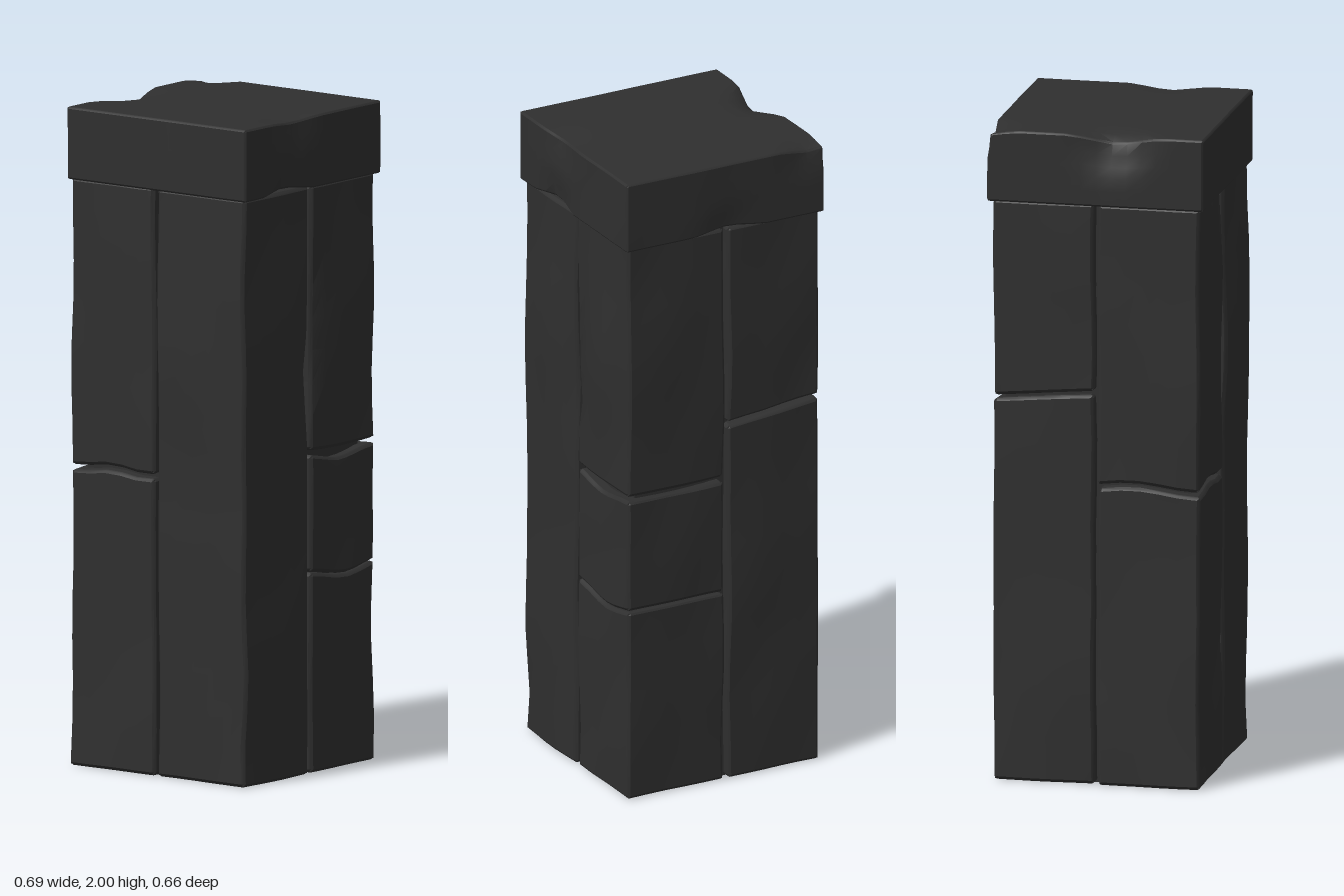
import * as THREE from 'three';
import { mergeVertices, toCreasedNormals } from 'three/addons/utils/BufferGeometryUtils.js';

const darkStone = new THREE.MeshStandardMaterial({ color: 0x2f2f2f });
darkStone.name = 'darkStone';

// Smooth, repeatable roughness
const rough = (a, b, c) =>
  Math.sin(a * 17 + c * 5) * Math.sin(b * 7 + a * 9 + c) * 0.6 + Math.sin(b * 13 + c * 2.3 + a * 11) * 0.4;

// Grid position 0..1 with a thin first and last cell, which becomes the worn bevel
function spread(t, segments, bevel) {
  const i = Math.round(t * segments);
  if (i === 0 || i === segments) return t;
  return bevel + (1 - 2 * bevel) * (i - 1) / (segments - 2);
}

// Worn block: x and z ranges, bottom and top heights as functions of x, z.
// bumps: { at, size, push } move the surface with a linear falloff.
function stone(name, [x0, x1], [z0, z1], bottom, top, { seg = [7, 14, 7], bevel = 0.01, noise = 0.004, seed = 1, bumps = [] } = {}) {
  let geo = new THREE.BoxGeometry(1, 1, 1, ...seg);
  geo.deleteAttribute('uv');
  geo.deleteAttribute('normal');
  geo = mergeVertices(geo);
  const pos = geo.attributes.position;
  const p = new THREE.Vector3();
  const height = top(0, 0) - bottom(0, 0);
  for (let i = 0; i < pos.count; i++) {
    const raw = [pos.getX(i) + 0.5, pos.getY(i) + 0.5, pos.getZ(i) + 0.5];
    const dims = [x1 - x0, height, z1 - z0];
    const side = raw.map(t => (t < 0.001 ? -1 : t > 0.999 ? 1 : 0));
    const onEdge = side.filter(s => s !== 0).length > 1;
    const t = raw.map((v, k) => spread(v, seg[k], bevel / dims[k]) - (onEdge ? side[k] * bevel * 0.4 / dims[k] : 0));
    const x = x0 + t[0] * dims[0];
    const z = z0 + t[2] * dims[2];
    const lo = bottom(x, z);
    p.set(x, lo + t[1] * (top(x, z) - lo), z);
    const { y } = p;
    p.x += rough(z, y, seed) * noise;
    p.z += rough(x, y, seed + 4) * noise;
    for (const { at, size, push } of bumps) {
      const d = Math.hypot((x - at[0]) / size[0], (y - at[1]) / size[1], (z - at[2]) / size[2]);
      if (d < 1) p.addScaledVector(new THREE.Vector3(...push), 1 - d);
    }
    pos.setXYZ(i, p.x, Math.max(p.y, 0), p.z);
  }
  const mesh = new THREE.Mesh(toCreasedNormals(geo, 0.45), darkStone);
  mesh.name = name;
  return mesh;
}

export function createModel() {
  const group = new THREE.Group();
  group.name = 'stonePillar';

  const level = h => () => h;
  const raise = (f, h) => (x, z) => f(x, z) + h;
  const floor = level(0);
  const neck = level(1.785);

  // Uneven horizontal cracks
  const frontCrack = (x, z) => 0.915 + 0.006 * Math.sin(x * 25) + 0.01 * Math.sin(z * 15);
  const backLeftCrack = (x, z) => 1.17 - 0.1 * (x + 0.17) + 0.09 * (z + 0.16);
  const upperCrack = (x, z) => 0.965 - 0.02 * Math.sin(-z * 9.5) * Math.sin(x * 9);
  const lowerCrack = (x, z) => 0.595 + 0.012 * Math.cos(z * 18);

  const left = [-0.334, -0.022], right = [-0.01, 0.32];
  const front = [0.005, 0.318], back = [-0.315, -0.006];

  // Filling behind the vertical grooves
  const core = new THREE.Mesh(new THREE.BoxGeometry(0.58, 1.78, 0.57), darkStone);
  core.name = 'core';
  core.position.set(-0.01, 0.89, 0);
  group.add(core);

  // Front left-hand column, two blocks
  group.add(
    stone('frontLowerBlock', left, front, floor, frontCrack, {
      seed: 1, seg: [7, 9, 7],
      bumps: [
        { at: [-0.33, 0, 0.2], size: [0.3, 0.6, 0.5], push: [-0.012, 0, 0] },
        { at: [-0.12, 0.36, 0.32], size: [0.12, 0.15, 0.1], push: [0, 0, -0.012] }
      ]
    }),
    stone('frontUpperBlock', left, front, raise(frontCrack, 0.014), neck, {
      seed: 2, seg: [7, 9, 7],
      bumps: [
        { at: [-0.33, 1.2, 0.2], size: [0.3, 0.5, 0.5], push: [-0.008, 0, 0] },
        { at: [-0.02, 1.75, 0.32], size: [0.05, 0.15, 0.1], push: [-0.01, 0, -0.01] }
      ]
    })
  );

  // Front right-hand column, one tall block
  group.add(stone('frontTallBlock', right, front, floor, neck, {
    seed: 3, seg: [7, 18, 7],
    bumps: [
      { at: [0.32, 1.35, 0.15], size: [0.2, 0.4, 0.13], push: [0.025, 0, 0] },
      { at: [0.1, 1.3, 0.32], size: [0.5, 0.4, 0.2], push: [0, 0, 0.012] },
      { at: [0.32, 0.3, 0.16], size: [0.2, 0.5, 0.2], push: [0.01, 0, 0] },
      { at: [0.32, 0.15, 0.32], size: [0.08, 0.15, 0.08], push: [-0.012, 0, -0.005] },
      { at: [0.32, 1.2, 0], size: [0.08, 0.15, 0.07], push: [-0.01, 0, 0.01] }
    ]
  }));

  // Back right-hand column, three blocks
  group.add(
    stone('backBaseBlock', right, back, floor, lowerCrack, { seed: 4, seg: [7, 7, 7] }),
    stone('backMiddleBlock', right, back, raise(lowerCrack, 0.004), upperCrack, {
      seed: 4, seg: [9, 6, 9],
      bumps: [{ at: [0.32, 0.96, -0.15], size: [0.15, 0.1, 0.13], push: [-0.006, -0.02, 0] }]
    }),
    stone('backTopBlock', right, back, raise(upperCrack, 0.015), neck, {
      seed: 5, seg: [7, 10, 7],
      bumps: [
        { at: [0.32, 1.4, -0.16], size: [0.2, 0.35, 0.14], push: [0.026, 0, 0] },
        { at: [0.15, 1.4, -0.31], size: [0.4, 0.3, 0.2], push: [0, 0, -0.01] },
        { at: [0.32, 1.2, 0], size: [0.1, 0.12, 0.06], push: [-0.012, 0, -0.012] }
      ]
    })
  );

  // Back left-hand column, two blocks
  group.add(
    stone('rearLowerBlock', left, back, floor, backLeftCrack, {
      seed: 6, seg: [7, 11, 7],
      bumps: [
        { at: [-0.33, 0.3, -0.15], size: [0.2, 0.4, 0.2], push: [-0.009, 0, 0] },
        { at: [-0.15, 0.7, -0.31], size: [0.15, 0.3, 0.1], push: [0, 0, -0.01] }
      ]
    }),
    stone('rearUpperBlock', left, back, raise(backLeftCrack, 0.01), neck, {
      seed: 7, seg: [7, 8, 7],
      bumps: [{ at: [-0.25, 1.22, -0.31], size: [0.1, 0.15, 0.1], push: [0, 0, 0.012] }]
    })
  );

  // Cap slab with chipped edges
  group.add(stone('cap', [-0.343, 0.333], [-0.332, 0.331], level(1.78), level(2), {
    seed: 8, seg: [16, 7, 16], bevel: 0.006, noise: 0.001,
    bumps: [
      { at: [-0.343, 2, 0.06], size: [0.08, 0.14, 0.14], push: [0.035, -0.03, 0] },
      { at: [0.333, 2, 0.08], size: [0.1, 0.12, 0.12], push: [-0.02, -0.012, 0] },
      { at: [0.333, 1.78, 0.12], size: [0.08, 0.12, 0.12], push: [-0.02, 0.015, 0] },
      { at: [-0.3, 2, -0.332], size: [0.1, 0.1, 0.08], push: [0, -0.02, 0.015] },
      { at: [-0.02, 1.78, -0.332], size: [0.12, 0.1, 0.1], push: [0, 0.015, 0.012] }
    ]
  }));

  return group;
}
